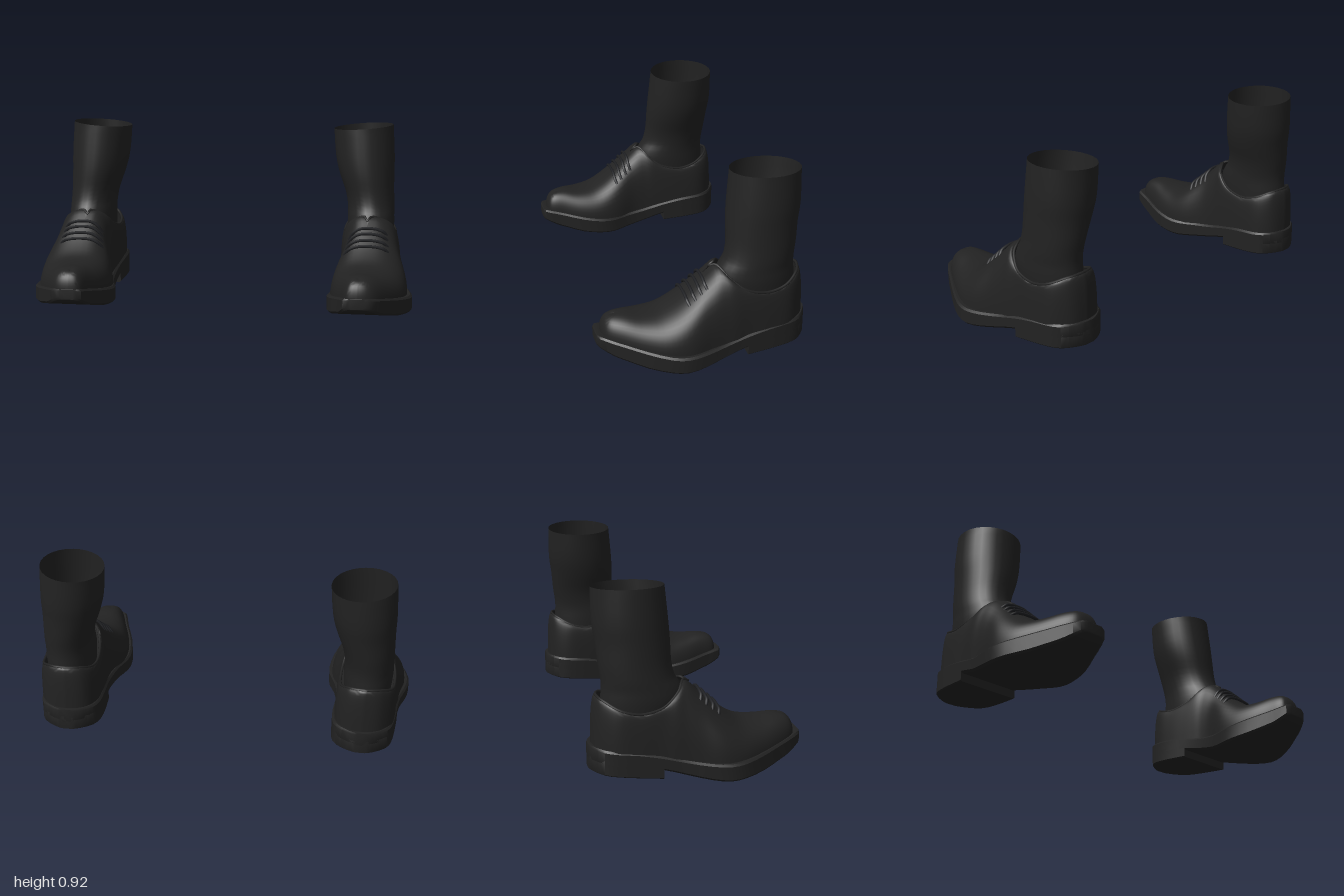
import * as THREE from 'three';
import { toCreasedNormals } from 'three/addons/utils/BufferGeometryUtils.js';

const leather = new THREE.MeshStandardMaterial({ color: 0x222222, side: THREE.DoubleSide });
leather.name = 'black leather';
const laceMat = new THREE.MeshStandardMaterial({ color: 0x1f2023 });
laceMat.name = 'lace black';

// Upper stations, toe to heel: base z, inner x, outer x, y; top edge z, inner x, outer x, y
const UPPER = [
  [0.497, 0.73, 0.73, 0.14, 0.425, 0.73, 0.73, 0.228],
  [0.49, 0.685, 0.775, 0.14, 0.42, 0.73, 0.73, 0.23],
  [0.465, 0.66, 0.815, 0.135, 0.405, 0.73, 0.73, 0.234],
  [0.40, 0.637, 0.86, 0.12, 0.37, 0.73, 0.73, 0.236],
  [0.30, 0.60, 0.915, 0.10, 0.29, 0.735, 0.735, 0.23],
  [0.20, 0.58, 0.96, 0.085, 0.20, 0.745, 0.745, 0.245],
  [0.10, 0.585, 0.975, 0.08, 0.10, 0.755, 0.755, 0.31],
  [0.00, 0.62, 0.955, 0.09, 0.00, 0.76, 0.76, 0.40],
  [-0.07, 0.628, 0.945, 0.10, -0.063, 0.745, 0.78, 0.45],
  [-0.13, 0.625, 0.94, 0.12, -0.10, 0.68, 0.855, 0.42],
  [-0.20, 0.62, 0.93, 0.135, -0.18, 0.645, 0.905, 0.36],
  [-0.30, 0.615, 0.925, 0.15, -0.29, 0.635, 0.91, 0.335],
  [-0.40, 0.62, 0.91, 0.16, -0.385, 0.645, 0.895, 0.355],
  [-0.465, 0.655, 0.865, 0.16, -0.445, 0.68, 0.85, 0.385],
  [-0.495, 0.70, 0.82, 0.165, -0.47, 0.72, 0.81, 0.395],
  [-0.507, 0.76, 0.76, 0.165, -0.48, 0.765, 0.765, 0.40],
];
const OPENING = 7.4; // station where the ankle opening begins

// Sole stations: z, inner x, outer x, bottom y, top y
const SOLE = [
  [0.522, 0.685, 0.765, 0.095, 0.145],
  [0.51, 0.655, 0.80, 0.085, 0.147],
  [0.45, 0.635, 0.845, 0.055, 0.135],
  [0.40, 0.618, 0.875, 0.04, 0.125],
  [0.30, 0.58, 0.935, 0.015, 0.105],
  [0.20, 0.562, 0.985, 0.004, 0.09],
  [0.12, 0.57, 1.0, 0.0, 0.085],
  [0.03, 0.60, 0.985, 0.01, 0.09],
  [-0.08, 0.613, 0.955, 0.033, 0.105],
  [-0.19, 0.612, 0.94, 0.062, 0.13],
  [-0.30, 0.604, 0.93, 0.075, 0.15],
  [-0.40, 0.607, 0.915, 0.08, 0.158],
  [-0.46, 0.63, 0.89, 0.09, 0.163],
  [-0.505, 0.69, 0.83, 0.09, 0.165],
  [-0.521, 0.73, 0.79, 0.09, 0.165],
];

// Sock rings: y, front z, back z, inner x, outer x
const SOCK = [
  [0.20, -0.10, -0.46, 0.66, 0.88],
  [0.36, -0.06, -0.46, 0.65, 0.90],
  [0.43, -0.075, -0.455, 0.65, 0.90],
  [0.48, -0.105, -0.457, 0.648, 0.90],
  [0.55, -0.12, -0.467, 0.635, 0.897],
  [0.65, -0.123, -0.477, 0.60, 0.895],
  [0.75, -0.13, -0.49, 0.577, 0.895],
  [0.905, -0.145, -0.49, 0.565, 0.885],
];

// Smooth interpolation between the rows of a table
function sample(rows, t) {
  const i = Math.min(Math.floor(t), rows.length - 2), f = t - i;
  const row = k => rows[Math.max(0, Math.min(rows.length - 1, k))];
  return rows[0].map((_, c) => {
    const [a, b, d, e] = [row(i - 1)[c], row(i)[c], row(i + 1)[c], row(i + 2)[c]];
    return b + 0.5 * f * (d - a + f * (2 * a - 5 * b + 4 * d - e + f * (3 * (b - d) + e - a)));
  });
}

const stations = (rows, steps, from = 0) => {
  const n = Math.round((rows.length - 1 - from) * steps);
  return Array.from({ length: n + 1 }, (_, k) => sample(rows, from + k / steps));
};

// Skin a list of rings; side = -1 mirrors the result
function loft(rings, side, { closed = true, caps = false, skip = -1, crease = 0.6 } = {}) {
  const m = rings[0].length, pos = [], idx = [];
  const tri = (a, b, c) => (side > 0 ? idx.push(a, b, c) : idx.push(a, c, b));
  rings.forEach(r => r.forEach(p => pos.push(p[0] * side, p[1], p[2])));
  for (let i = 0; i < rings.length - 1; i++) {
    for (let j = 0; j < (closed ? m : m - 1); j++) {
      if (j === skip) continue;
      const a = i * m + j, b = i * m + (j + 1) % m;
      tri(a, b, a + m);
      tri(b, b + m, a + m);
    }
  }
  const last = (rings.length - 1) * m;
  if (caps) for (let k = 1; k < m - 1; k++) {
    tri(0, k + 1, k);
    tri(last, last + k, last + k + 1);
  }
  const g = new THREE.BufferGeometry();
  g.setAttribute('position', new THREE.Float32BufferAttribute(pos, 3));
  g.setIndex(idx);
  return toCreasedNormals(g, crease);
}

// Point on the upper: s = 0 inner, 1 outer; u runs from welt to top edge
function upperPoint(r, s, u) {
  const mid = (r[5] + r[6]) / 2;
  const topX = s ? Math.max(r[6], mid) : Math.min(r[5], mid);
  const c = u >= 1 ? 0 : Math.pow(Math.cos(u * Math.PI / 2), 0.8);
  const v = Math.pow(Math.sin(u * Math.PI / 2), 0.8);
  const base = r[3] - 0.02;
  return [topX + (r[1 + s] - topX) * c, base + (r[7] - base) * v, r[4] + (r[0] - r[4]) * c];
}

// Sole cross-section with softened edges
function slab([z, a, b, y0, y1], e = 0.01) {
  return [[a + e, y0, z], [a, y0 + e, z], [a, y1 - e, z], [a + e, y1, z],
    [b - e, y1, z], [b, y1 - e, z], [b, y0 + e, z], [b - e, y0, z]];
}

function buildShoe(side) {
  const shoe = new THREE.Group();
  const add = (name, geometry, material = leather) => {
    const mesh = new THREE.Mesh(geometry, material);
    mesh.name = name;
    shoe.add(mesh);
  };
  const tube = (pts, radius, segs, closed) => new THREE.TubeGeometry(
    new THREE.CatmullRomCurve3(pts.map(p => new THREE.Vector3(p[0] * side, p[1], p[2])), closed),
    segs, radius, 6, closed);

  // Upper: inner wall then outer wall, left unjoined at the top for the opening
  const N = 12, us = Array.from({ length: N + 1 }, (_, k) => k / N);
  const rings = stations(UPPER, 4).map(r => [
    ...us.map(u => upperPoint(r, 0, u)),
    ...us.slice().reverse().map(u => upperPoint(r, 1, u)),
  ]);
  add('upper', loft(rings, side, { closed: false, skip: N, crease: 1.2 }));

  // Rolled edge around the ankle opening
  const edge = stations(UPPER, 2, 7.5);
  add('collarRim', tube([
    ...edge.map(r => upperPoint(r, 0, 1)),
    ...edge.slice(1, -1).reverse().map(r => upperPoint(r, 1, 1)),
  ], 0.007, 70, true));

  // Sole and heel block
  add('sole', loft(stations(SOLE, 2).map(r => slab(r)), side, { caps: true }));
  const heel = stations(SOLE, 2, 9).map(([z, a, b, y0]) =>
    slab([z, a, b, 0.02 + 0.025 * (-0.19 - z) / 0.33, y0 + 0.03], 0.005));
  add('heel', loft(heel, side, { caps: true }));

  // Sock: open tube with a slightly slanted rim
  const sock = stations(SOCK, 3).map(([y, zf, zb, xi, xo]) =>
    Array.from({ length: 28 }, (_, k) => {
      const a = k / 28 * Math.PI * 2, lift = Math.max(0, (y - 0.75) / 0.155) * 0.0125;
      return [(xi + xo) / 2 + (xo - xi) / 2 * Math.cos(a), y + lift * Math.cos(a),
        (zf + zb) / 2 - (zf - zb) / 2 * Math.sin(a)];
    }));
  add('sock', loft(sock, side, { crease: 1.2 }));

  // Four laces lying across the instep
  for (const z of [0.09, 0.062, 0.033, 0.004]) {
    const r = sample(UPPER, 6 + (0.1 - z) / 0.1);
    const pts = [
      ...[0.58, 0.7, 0.82, 0.92].map(u => upperPoint(r, 0, u)),
      upperPoint(r, 0, 1),
      ...[0.92, 0.85, 0.78, 0.7].map(u => upperPoint(r, 1, u)),
    ].map(([x, y, pz], k) => {
      const o = k === 0 || k === 8 ? -0.004 : 0.005;
      return [x, y + o, pz + o];
    });
    add('lace', tube(pts, 0.008, 24, false), laceMat);
  }
  return shoe;
}

export function createModel() {
  const model = new THREE.Group();
  model.name = 'pairOfShoes';
  for (const [name, side] of [['leftShoe', 1], ['rightShoe', -1]]) {
    const shoe = buildShoe(side);
    shoe.name = name;
    model.add(shoe);
  }
  return model;
}
